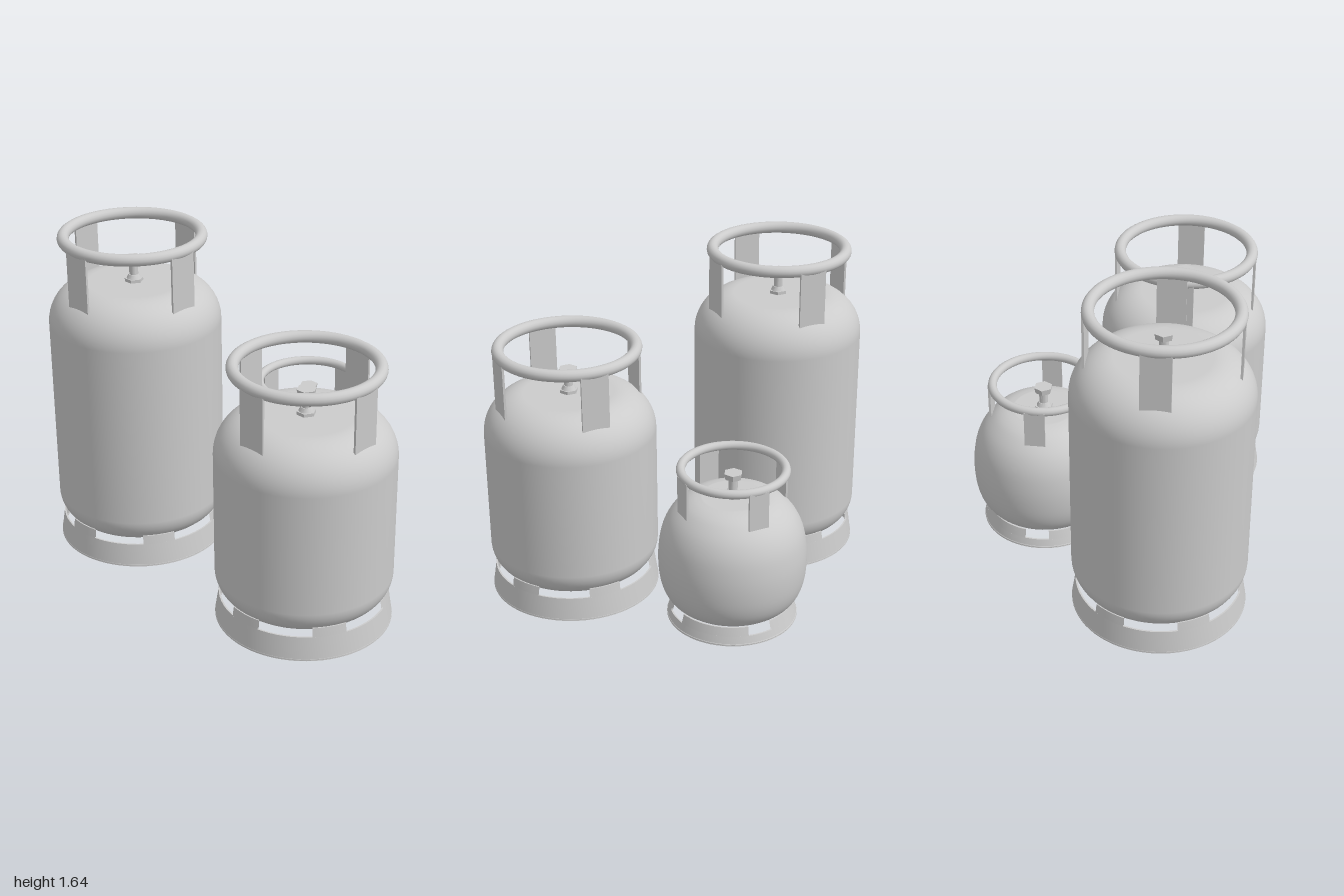
import * as THREE from 'three';
import { toCreasedNormals } from 'three/addons/utils/BufferGeometryUtils.js';

const grey = new THREE.MeshStandardMaterial({ color: 0xcccccc });
const thin = new THREE.MeshStandardMaterial({ color: 0xcccccc, side: THREE.DoubleSide });
const RAD = Math.PI / 180;
const v2 = (x, y) => new THREE.Vector2(x, y);

function add(parent, name, geometry, material = grey) {
  const mesh = new THREE.Mesh(geometry, material);
  mesh.name = name;
  parent.add(mesh);
  return mesh;
}

// Thin revolved sheet between two heights, optionally only an arc of it
function sheet(r0, y0, r1, y1, start = 0, length = 360) {
  const t = 0.008;
  const pts = [v2(r0 - t, y0), v2(r0, y0), v2(r1, y1), v2(r1 - t, y1), v2(r0 - t, y0)];
  const segs = Math.max(6, Math.round(length / 5));
  return toCreasedNormals(new THREE.LatheGeometry(pts, segs, start * RAD, length * RAD), 0.6);
}

// Straight-sided tank with rounded bottom and shoulder
function straightProfile(r, bottom, top, rb, rt) {
  const pts = [v2(0, bottom)];
  for (let i = 0; i <= 10; i++) {
    const a = i / 10 * Math.PI / 2;
    pts.push(v2(r - rb + rb * Math.sin(a), bottom + rb - rb * Math.cos(a)));
  }
  for (let i = 0; i <= 12; i++) {
    const a = i / 12 * Math.PI / 2;
    pts.push(v2(r - rt + rt * Math.cos(a), top - rt + rt * Math.sin(a)));
  }
  pts.push(v2(0, top));
  return pts;
}

// Barrel-shaped tank
function barrelProfile() {
  const side = new THREE.SplineCurve([
    v2(0.21, 0.07), v2(0.285, 0.1), v2(0.33, 0.15), v2(0.355, 0.22), v2(0.364, 0.31),
    v2(0.36, 0.4), v2(0.342, 0.49), v2(0.305, 0.565), v2(0.25, 0.622), v2(0.2, 0.649), v2(0.15, 0.66),
  ]);
  return [v2(0, 0.07), ...side.getPoints(40), v2(0, 0.66)];
}

// Flange, stem and hexagonal knob
function valve(y) {
  const g = new THREE.Group();
  g.name = 'valve';
  const stack = [
    ['valveFlange', 0.046, 0.046, 0, 0.016, 6],
    ['valveCollar', 0.026, 0.036, 0.016, 0.036, 16],
    ['valveStem', 0.022, 0.022, 0.036, 0.1, 16],
    ['valveKnob', 0.047, 0.042, 0.095, 0.125, 6],
  ];
  for (const [name, rTop, rBottom, y0, y1, n] of stack) {
    const geo = new THREE.CylinderGeometry(rTop, rBottom, y1 - y0, n);
    add(g, name, toCreasedNormals(geo, 0.6)).position.y = (y0 + y1) / 2;
  }
  g.position.y = y;
  return g;
}

function cylinder(name, x, z, o) {
  const g = new THREE.Group();
  g.name = name;
  g.position.set(x, 0, z);
  add(g, 'tank', new THREE.LatheGeometry(o.profile, 72));

  // Foot skirt: solid lower band with raised tabs above it
  const s = o.skirt;
  const rMid = s.r0 + (s.r1 - s.r0) * (s.mid - s.y0) / (s.y1 - s.y0);
  add(g, 'footBand', sheet(s.r0, s.y0, rMid, s.mid), thin);
  for (let i = 0; i < s.count; i++) {
    const centre = s.offset + i * 360 / s.count;
    add(g, 'footTab', sheet(rMid, s.mid, s.r1, s.y1, centre - s.width / 2, s.width), thin);
  }
  // Rolled lip at the bottom of the skirt
  const lip = add(g, 'footLip', new THREE.TorusGeometry(s.r0 - 0.006, 0.006, 8, 72));
  lip.rotation.x = Math.PI / 2;
  lip.position.y = s.y0 + 0.006;

  // Carrying ring on four flat posts
  const ring = add(g, 'handleRing', new THREE.TorusGeometry(o.ringR, o.tube, 16, 72));
  ring.rotation.x = Math.PI / 2;
  ring.position.y = o.ringY;
  const h = o.ringY - o.postY;
  for (let i = 0; i < 4; i++) {
    const a = i * Math.PI / 2;
    const post = add(g, 'handlePost', new THREE.BoxGeometry(o.postW, h, 0.011));
    post.position.set(Math.sin(a) * o.postR, o.postY + h / 2, Math.cos(a) * o.postR);
    post.rotation.y = a;
  }

  g.add(valve(o.top));
  return g;
}

// Straight cylinder of a given height; the rest of the fittings are shared
function straight(name, x, z, top) {
  return cylinder(name, x, z, {
    top,
    profile: straightProfile(0.425, 0.11, top, 0.14, 0.2),
    skirt: { r0: 0.425, y0: 0, r1: 0.4, y1: 0.163, mid: 0.118, count: 6, offset: 30, width: 23 },
    ringR: 0.334, tube: 0.029, ringY: top + 0.232,
    postY: top - 0.063, postR: 0.35, postW: 0.138,
  });
}

export function createModel() {
  const model = new THREE.Group();
  model.name = 'gasCylinders';
  model.add(straight('tallCylinder', -0.295, -0.575, 1.38));
  model.add(straight('mediumCylinder', -0.295, 0.575, 1.055));
  model.add(cylinder('smallCylinder', 0.355, 0, {
    top: 0.66,
    profile: barrelProfile(),
    skirt: { r0: 0.323, y0: 0.01, r1: 0.298, y1: 0.1, mid: 0.056, count: 4, offset: 45, width: 67 },
    ringR: 0.252, tube: 0.022, ringY: 0.803,
    postY: 0.612, postR: 0.266, postW: 0.102,
  }));
  return model;
}
